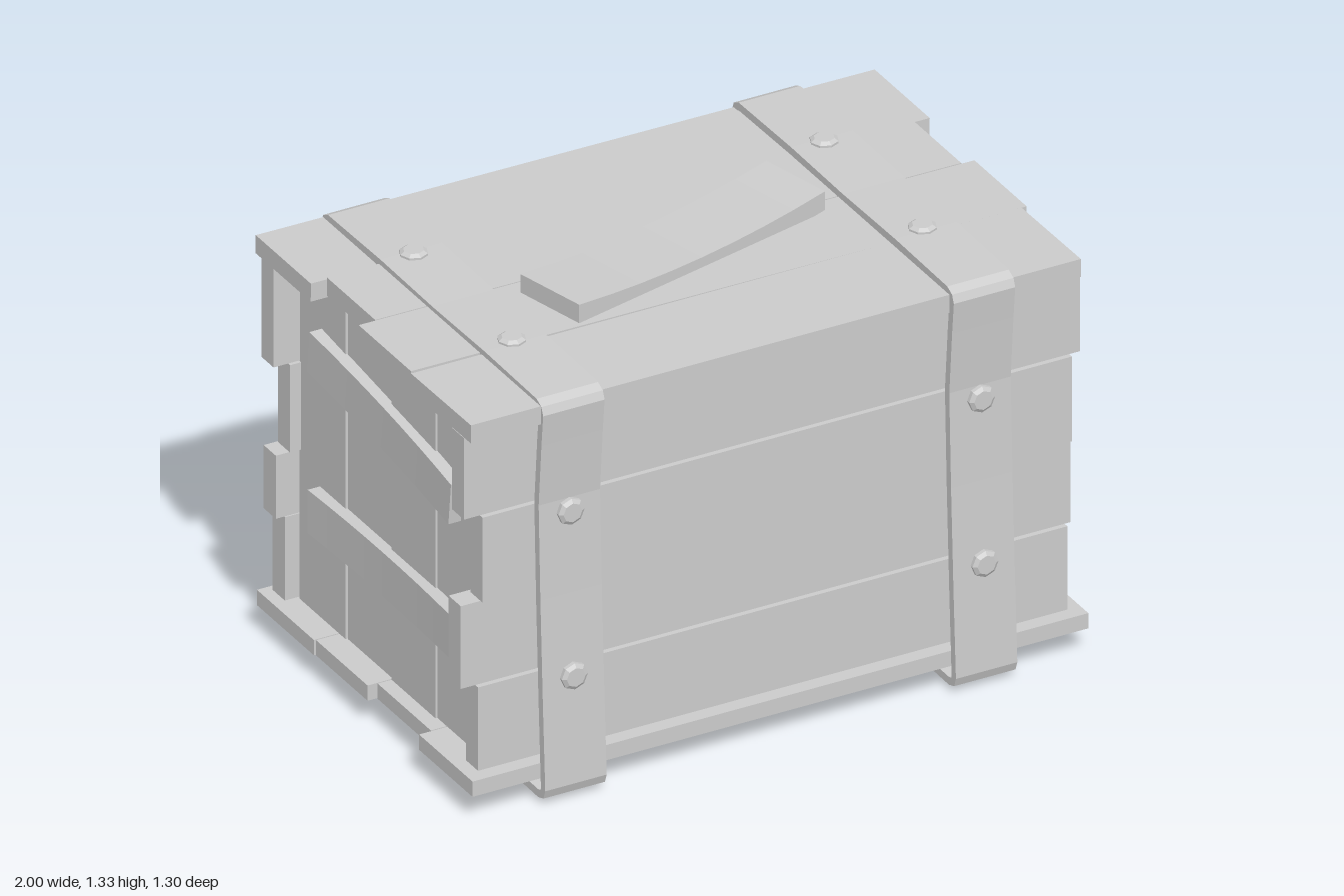
import * as THREE from 'three';

const wood = new THREE.MeshStandardMaterial({ color: 0xcccccc, flatShading: true });

function add(parent, name, geometry) {
  const mesh = new THREE.Mesh(geometry, wood);
  mesh.name = name;
  parent.add(mesh);
  return mesh;
}

function group(parent, name) {
  const g = new THREE.Group();
  g.name = name;
  parent.add(g);
  return g;
}

// Straight board given by its extents on each axis
function board(parent, name, [x0, x1], [y0, y1], [z0, z1]) {
  const mesh = add(parent, name, new THREE.BoxGeometry(x1 - x0, y1 - y0, z1 - z0));
  mesh.position.set((x0 + x1) / 2, (y0 + y1) / 2, (z0 + z1) / 2);
  return mesh;
}

// Slat lying along x whose ends curl up by the given amount
function bentSlat(length, thick, width, curl) {
  const geo = new THREE.BoxGeometry(length, thick, width, 8, 1, 1);
  const p = geo.attributes.position;
  for (let i = 0; i < p.count; i++) {
    const t = p.getX(i) / (length / 2);
    p.setY(i, p.getY(i) + curl * t * t);
  }
  geo.computeVertexNormals();
  return geo;
}

// Closed strap outline in the z-y plane, as [z, y]
const outerLoop = [
  [0.61, 0.012], [0.64, 0.022], [0.65, 0.05], [0.636, 0.33], [0.622, 0.65], [0.612, 0.95],
  [0.628, 1.15], [0.638, 1.25], [0.628, 1.275], [0.6, 1.288], [0.3, 1.293], [0, 1.289], [-0.3, 1.293],
  [-0.6, 1.288], [-0.628, 1.275], [-0.638, 1.25], [-0.628, 1.15], [-0.61, 0.95],
  [-0.62, 0.65], [-0.635, 0.33], [-0.65, 0.05], [-0.64, 0.022], [-0.61, 0.012],
  [-0.3, 0.016], [0, 0.02], [0.3, 0.016],
];

function strapGeometry(width, thick) {
  const pts = outerLoop.map(([z, y]) => new THREE.Vector2(z, y));
  const n = pts.length;
  // inner edge: each point moved inward along its local normal
  const inner = pts.map((p, i) => {
    const d = pts[(i + 1) % n].clone().sub(pts[(i + n - 1) % n]).normalize();
    return new THREE.Vector2(p.x - d.y * thick, p.y + d.x * thick);
  });
  const shape = new THREE.Shape(pts);
  shape.holes.push(new THREE.Path(inner));
  const geo = new THREE.ExtrudeGeometry(shape, { depth: width, bevelEnabled: false });
  geo.translate(0, 0, -width / 2);
  geo.rotateY(-Math.PI / 2);
  return geo;
}

// Eight-sided rivet head, rising along +y from its base
function rivetGeometry() {
  const profile = [[0.042, -0.01], [0.042, 0.009], [0.03, 0.017], [0, 0.017]];
  return new THREE.LatheGeometry(profile.map(([r, y]) => new THREE.Vector2(r, y)), 8);
}

export function createModel() {
  const crate = new THREE.Group();
  crate.name = 'crate';

  // Long walls: four uneven planks each, [x range, y range, inner z]
  const front = group(crate, 'frontWall');
  [
    [[-0.95, 0.94], [0.13, 0.398], 0.51],
    [[-1.0, 0.955], [0.402, 0.668], 0.5],
    [[-0.94, 0.95], [0.672, 0.945], 0.518],
    [[-0.995, 0.98], [0.95, 1.212], 0.51],
  ].forEach(([x, y, z]) => board(front, 'frontPlank', x, y, [z, z + 0.07]));

  const back = group(crate, 'backWall');
  [
    [[-0.95, 0.94], [0.13, 0.398], 0.532],
    [[-0.98, 0.945], [0.402, 0.605], 0.53],
    [[-0.94, 0.94], [0.609, 0.89], 0.52],
    [[-0.99, 0.98], [0.894, 1.212], 0.525],
  ].forEach(([x, y, z]) => board(back, 'backPlank', x, y, [-z - 0.07, -z]));

  // Recessed end walls of four upright boards
  const seams = [-0.53, -0.262, 0, 0.255, 0.515];
  for (const [name, x0, x1] of [['leftWall', 0.85, 0.908], ['rightWall', -0.905, -0.85]]) {
    const wall = group(crate, name);
    for (let i = 0; i < 4; i++) {
      const inset = (i % 2) * 0.006 * Math.sign(x0);
      board(wall, 'endBoard', [x0 - inset, x1 - inset], [0.125, 1.212], [seams[i] + 0.001, seams[i + 1] - 0.001]);
    }
  }

  // Lid and floor planks, [x range, z range]
  const lid = group(crate, 'lid');
  [
    [[-1.0, 0.965], [0.278, 0.618], 1.213],
    [[-0.995, 0.98], [-0.027, 0.274], 1.213],
    [[-0.94, 0.94], [-0.307, -0.031], 1.213],
    [[-0.99, 0.995], [-0.628, -0.311], 1.205],
  ].forEach(([x, z, y], i) => {
    const plank = board(lid, 'lidPlank', x, [y, y + 0.058], z);
    plank.rotation.z = -0.006;
    plank.rotation.y = [0.008, 0, 0, 0][i];
  });

  const floor = group(crate, 'floor');
  [
    [[-0.99, 0.985], [0.312, 0.62]],
    [[-0.95, 0.96], [0.002, 0.308]],
    [[-0.98, 0.945], [-0.298, -0.002]],
    [[-0.985, 1.0], [-0.63, -0.302]],
  ].forEach(([x, z]) => board(floor, 'floorPlank', x, [0.077, 0.126], z));

  // Curled slat nailed askew on the lid
  const lidSlat = add(crate, 'lidSlat', bentSlat(0.945, 0.06, 0.24, 0.03));
  lidSlat.position.set(-0.018, 1.273, 0.028);
  lidSlat.rotation.y = 0.246;

  // End slats: [name, side, y, tilt, length, width, thickness, x, curl]
  for (const [name, side, y, tilt, length, width, thick, x, curl] of [
    ['leftSlat', 1, 0.805, -0.172, 0.75, 0.2, 0.055, 0.916, 0.018],
    ['rightUpperSlat', -1, 0.945, 0.11, 0.82, 0.135, 0.04, 0.915, 0.01],
    ['rightLowerSlat', -1, 0.475, 0.0, 0.82, 0.14, 0.04, 0.915, 0.01],
  ]) {
    const geo = bentSlat(length, thick, width, curl);
    geo.rotateZ(-Math.PI / 2); // curl now faces +x, length runs along y
    geo.rotateX(Math.PI / 2); // length runs along z
    if (side < 0) geo.rotateY(Math.PI);
    const slat = add(crate, name, geo);
    slat.position.set(side * x, y, 0);
    slat.rotation.x = tilt;
  }

  // Two straps wrapped round the crate, with two rivets per side
  const strapGeo = strapGeometry(0.197, 0.025);
  const rivetGeo = rivetGeometry();
  const quarter = Math.PI / 2;
  for (const x of [-0.675, 0.642]) {
    const strap = group(crate, 'strap');
    strap.position.x = x;
    add(strap, 'strapBand', strapGeo);
    // [y, z, rotation about x]
    for (const [y, z, turn] of [
      [0.39, 0.635, quarter], [0.91, 0.616, quarter],
      [0.39, -0.635, -quarter], [0.91, -0.614, -quarter],
      [1.29, 0.28, 0], [1.29, -0.285, 0],
      [0.017, 0.295, Math.PI], [0.017, -0.29, Math.PI],
    ]) {
      const rivet = add(strap, 'rivet', rivetGeo);
      rivet.position.set(0, y, z);
      rivet.rotation.x = turn;
    }
  }

  return crate;
}
